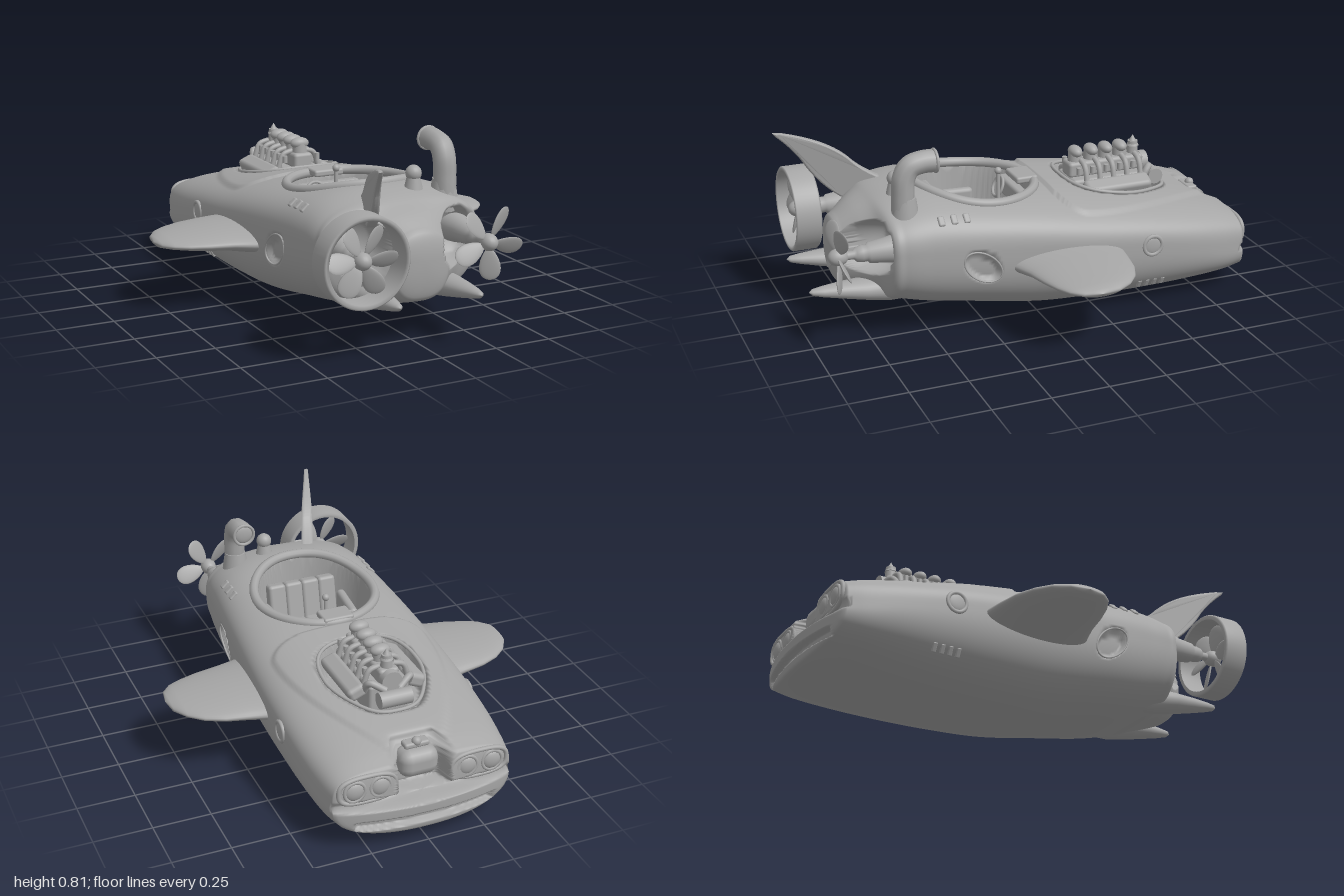
import * as THREE from 'three';
import { RoundedBoxGeometry } from 'three/addons/geometries/RoundedBoxGeometry.js';

const V = (x, y, z) => new THREE.Vector3(x, y, z);
const step = THREE.MathUtils.smoothstep;

// Hull stations along z: half width, top, bottom, widest height, upper squareness
const stations = [
  [-0.93, 0.388, 0.348, 0.06, 0.2, 4.2], [-0.85, 0.405, 0.38, 0.04, 0.21, 3.6], [-0.7, 0.422, 0.42, 0.02, 0.25, 3],
  [-0.45, 0.43, 0.47, 0.005, 0.3, 2.7], [-0.2, 0.428, 0.51, 0.005, 0.33, 2.65], [0, 0.42, 0.54, 0.015, 0.35, 2.75],
  [0.3, 0.4, 0.575, 0.065, 0.37, 2.85], [0.5, 0.383, 0.6, 0.1, 0.39, 2.6], [0.62, 0.368, 0.585, 0.13, 0.4, 2.5],
  [0.67, 0.35, 0.57, 0.14, 0.4, 2.5], [0.7, 0.27, 0.555, 0.15, 0.38, 2.4], [0.76, 0.19, 0.525, 0.165, 0.37, 2.2],
  [0.82, 0.135, 0.485, 0.185, 0.36, 2.1]];
const Z0 = -0.93, Z1 = 0.82, LOW = 2.7;
const spline = new THREE.CubicInterpolant(stations.map(s => s[0]), stations.flatMap(s => s.slice(1)), 5);
const section = z => Array.from(spline.evaluate(THREE.MathUtils.clamp(z, Z0, Z1)));

// Raised bonnet outline
const hoodWidth = z => z > -0.2 ? 0.36 * Math.sqrt(Math.max(0, 1 - ((z + 0.2) / 0.11) ** 2)) ** 0.5
  : 0.36 - 0.5 * (-0.2 - z) ** 1.9;
const hood = (x, z) => z > -0.095 || z < -0.92 ? 0 : 0.012 * step(hoodWidth(z) - Math.abs(x), 0, 0.02);
// Surface height of the deck, and surface reach of the flank
function deck(x, z) {
  const [w, top, , mid, n] = section(z);
  return mid + (top - mid) * Math.max(0, 1 - Math.abs(x / w) ** n) ** (1 / n) + hood(x, z);
}
function flank(y, z) {
  const [w, top, bot, mid, n] = section(z);
  const e = y > mid ? n : LOW, k = y > mid ? (y - mid) / (top - mid) : (mid - y) / (mid - bot);
  return w * Math.max(0, 1 - k ** e) ** (1 / e);
}
const cockpitR = (x, z) => Math.hypot(x / 0.255, (z - 0.21) / 0.262);
const bayR = (x, z) => {
  const w = 0.215 - 0.06 * step(-z, 0.42, 0.69);
  return (Math.abs(x / w) ** 3 + Math.abs((z + 0.45) / 0.24) ** 3) ** (1 / 3);
};

// Openings and nose features pressed into the hull
function shapeHull(p) {
  const { x, y, z } = p, ax = Math.abs(x), mid = section(z)[3];
  if (y > mid) {
    p.y += hood(x, z);
    if (y > 0.36) {
      p.y -= (p.y - 0.25) * (1 - step(cockpitR(x, z), 0.97, 1.04));
      if (z < -0.15) p.y -= (p.y - 0.37) * (1 - step(bayR(x, z), 0.96, 1.04));
    }
  }
  // bowl-shaped propeller wells
  const r = Math.hypot(ax - 0.226, y - 0.405) / 0.13;
  if (r < 1 && z > 0.5) p.z = Math.min(z, 0.6 + 0.07 * r ** 2 + 0.1 * step(r, 0.75, 1));
  // slanted oval side recesses
  const e = Math.hypot((z - 0.3 - 0.5 * (y - 0.315)) / 0.075, (y - 0.315) / 0.075);
  if (ax > 0.3) p.x *= 1 - 0.07 * (1 - step(e, 0.75, 1));
  // nose: lower lip, mouth slot and centre notch
  if (z < -0.78) {
    const t = step(-z, 0.78, 0.93), low = 1 - step(y, 0.18, 0.2);
    p.z += t * (-0.055 * Math.max(0, 1 - (x / 0.4) ** 2) * low
      + 0.09 * (1 - step(ax, 0.095, 0.115)) * step(y, 0.2, 0.22));
    if (z < -0.92) p.z += 0.025 * (1 - step(Math.abs(y - 0.205), 0.006, 0.016))
      + 0.03 * (1 - step(ax, 0.29, 0.31)) * (1 - step(Math.abs(y - 0.115), 0.014, 0.024));
  }
  return p;
}

// Skin over a list of closed rings
function loft(rings) {
  const n = rings[0].length, pos = rings.flat().flatMap(p => [p.x, p.y, p.z]), idx = [];
  for (let i = 0; i < rings.length - 1; i++) for (let j = 0; j < n; j++) {
    const a = i * n + j, b = i * n + (j + 1) % n;
    idx.push(a, b, a + n, b, b + n, a + n);
  }
  const g = new THREE.BufferGeometry();
  g.setAttribute('position', new THREE.Float32BufferAttribute(pos, 3));
  g.setIndex(idx);
  g.computeVertexNormals();
  return g;
}
function hullRing(z, k = 1, dz = 0) {
  const [w, top, bot, mid, n] = section(z);
  return Array.from({ length: 180 }, (_, j) => {
    const a = j / 180 * Math.PI * 2, c = Math.cos(a), s = Math.sin(a), e = 2 / (s > 0 ? n : LOW);
    return shapeHull(V(k * w * Math.sign(c) * Math.abs(c) ** e,
      mid + k * (s > 0 ? top - mid : bot - mid) * Math.abs(s) ** e, z + dz));
  });
}
const tube = (pts, r, closed = false, n = 48) =>
  new THREE.TubeGeometry(new THREE.CatmullRomCurve3(pts, closed), n, r, 10, closed);
const loop = (f, n = 48) => Array.from({ length: n }, (_, i) => f(Math.cos(i / n * 2 * Math.PI), Math.sin(i / n * 2 * Math.PI)));

export function createModel() {
  const root = new THREE.Group();
  const grey = new THREE.MeshStandardMaterial({ color: 0xa6a6a6, side: THREE.DoubleSide });
  grey.name = 'plain grey';
  const add = (name, geo, x = 0, y = 0, z = 0, parent = root) => {
    const m = new THREE.Mesh(geo, grey);
    m.name = name;
    m.position.set(x, y, z);
    parent.add(m);
    return m;
  };
  const box = (w, h, d, r = 0.01) => new RoundedBoxGeometry(w, h, d, 2, r);
  const ball = r => new THREE.SphereGeometry(r, 20, 14);
  const rod = (r0, r1, h) => new THREE.CylinderGeometry(r0, r1, h, 24);

  // Hull with rounded end caps
  const rings = [], N = 200, C = 26;
  for (let i = C; i > 0; i--) rings.push(hullRing(Z0, 1 - i / C, -0.02 * Math.sqrt(1 - (1 - i / C) ** 2)));
  for (let i = 0; i <= N; i++) rings.push(hullRing(Z0 + (Z1 - Z0) * i / N));
  for (let i = 1; i <= 16; i++) rings.push(hullRing(Z1, 1 - i / 16, 0.04 * Math.sqrt(1 - (1 - i / 16) ** 2)));
  add('hull', loft(rings));

  // Rims that follow the deck
  add('cockpitRim', tube(loop((c, s) => {
    const x = 0.268 * c, z = 0.21 + 0.278 * s;
    return V(x, deck(x, z), z);
  }), 0.021, true, 96));
  add('engineBayRim', tube(loop((c, s) => {
    const z = -0.45 + 0.24 * Math.sign(s) * Math.abs(s) ** 0.7;
    const x = (0.215 - 0.06 * step(-z, 0.42, 0.69)) * Math.sign(c) * Math.abs(c) ** 0.7;
    return V(x, deck(x, z), z);
  }), 0.008, true, 96));

  // Cockpit: pleated bench with side bolsters, dashboard, steering wheel
  const cockpit = new THREE.Group();
  cockpit.name = 'cockpit';
  root.add(cockpit);
  for (let i = 0; i < 4; i++) {
    const x = (i - 1.5) * 0.08;
    add('seatCushion', box(0.082, 0.1, 0.26, 0.015), x, 0.31, 0.22, cockpit);
    add('seatBack', box(0.082, 0.22, 0.06, 0.015), x, 0.41, 0.365, cockpit).rotation.x = 0.2;
  }
  for (const s of [-1, 1])
    add('seatBolster', box(0.04, 0.2, 0.22, 0.018), s * 0.175, 0.35, 0.25, cockpit).rotation.y = s * 0.1;
  add('dashboard', box(0.3, 0.08, 0.05, 0.015), 0, 0.46, 0.0, cockpit);
  add('dashboardTop', box(0.14, 0.03, 0.1), 0, 0.54, -0.03, cockpit);
  add('steeringWheel', new THREE.TorusGeometry(0.045, 0.007, 8, 24), -0.08, 0.47, 0.05, cockpit).rotation.x = -0.4;
  add('controlLever', rod(0.008, 0.008, 0.2), 0, 0.475, 0.08, cockpit);
  add('leverKnob', ball(0.016), 0, 0.575, 0.08, cockpit);

  // Engine
  const engine = new THREE.Group();
  engine.name = 'engine';
  root.add(engine);
  add('engineBlock', box(0.18, 0.14, 0.36, 0.015), 0, 0.44, -0.42, engine);
  add('intakeManifold', box(0.09, 0.07, 0.36, 0.015), 0, 0.54, -0.42, engine);
  for (const s of [-1, 1]) {
    add('valveCover', box(0.08, 0.06, 0.31, 0.02), s * 0.133, 0.48, -0.43, engine).rotation.z = -s * 0.4;
    for (let i = 0; i < 5; i++) {
      const z = -0.3 - i * 0.065;
      add('intakePipe', tube([V(s * 0.03, 0.58, z), V(s * 0.075, 0.565, z), V(s * 0.1, 0.5, z)], 0.012, false, 10), 0, 0, 0, engine);
      add('boltCap', rod(0.011, 0.011, 0.03), s * 0.08, 0.55, z + 0.03, engine);
    }
    add('frontPipe', tube([V(s * 0.03, 0.5, -0.63), V(s * 0.09, 0.53, -0.6), V(s * 0.1, 0.47, -0.56)], 0.015, false, 12), 0, 0, 0, engine);
  }
  [-0.285, -0.36, -0.43, -0.5].forEach(z => {
    add('intakeStack', rod(0.03, 0.035, 0.06), 0, 0.585, z, engine);
    add('stackCap', ball(0.033).scale(1.35, 0.8, 0.9), 0, 0.615, z, engine);
  });
  add('distributor', rod(0.022, 0.028, 0.09), 0, 0.585, -0.565, engine);
  add('distributorCap', new THREE.ConeGeometry(0.028, 0.05, 16), 0, 0.633, -0.565, engine);
  add('pulley', rod(0.045, 0.045, 0.03), 0, 0.53, -0.61, engine).rotation.x = Math.PI / 2;
  add('frontDrum', rod(0.035, 0.035, 0.14), 0, 0.47, -0.65, engine).rotation.z = Math.PI / 2;

  // Propellers on stepped pods
  const podProfile = [[0.07, -0.33], [0.06, -0.24], [0.052, -0.2], [0.044, -0.13], [0.034, -0.12], [0.036, -0.1], [0.03, -0.075], [0.018, -0.065], [0.018, 0]]
    .map(p => new THREE.Vector2(...p));
  const propeller = (name, x, z, count, length) => {
    const g = new THREE.Group();
    g.name = name;
    g.position.set(x, 0.41, z);
    root.add(g);
    add('pod', new THREE.LatheGeometry(podProfile, 28).rotateX(Math.PI / 2), 0, 0, 0, g);
    add('hub', ball(0.036).scale(1, 1, 1.2), 0, 0, 0, g);
    for (let i = 0; i < count; i++) {
      // teardrop blade, broader at the tip
      const b = new THREE.SphereGeometry(1, 16, 12), q = b.attributes.position;
      for (let k = 0; k < q.count; k++) q.setX(k, q.getX(k) * (1 + 0.3 * q.getY(k)));
      b.scale(0.042, length / 2, 0.008).rotateY(0.5).translate(0, 0.025 + length / 2, 0);
      b.computeVertexNormals();
      add('blade', b, 0, 0, 0, g).rotation.z = -0.55 + i * Math.PI * 2 / count;
    }
  };
  propeller('ductedPropeller', -0.302, 0.9, 6, 0.13);
  propeller('openPropeller', 0.275, 0.885, 5, 0.135);
  const duct = [[0.166, -0.055], [0.18, -0.058], [0.187, -0.05], [0.187, 0.05], [0.18, 0.056], [0.166, 0.053], [0.166, -0.055]];
  add('propellerDuct', new THREE.LatheGeometry(duct.map(p => new THREE.Vector2(...p)), 56).rotateX(Math.PI / 2), -0.304, 0.413, 0.897);

  // Swept dorsal fin, leaning outward and thinning to the tip
  const f = new THREE.Shape();
  f.moveTo(0.54, 0.56);
  f.quadraticCurveTo(0.65, 0.6, 0.71, 0.665);
  f.quadraticCurveTo(0.8, 0.745, 0.99, 0.772);
  f.quadraticCurveTo(0.93, 0.725, 0.885, 0.66);
  f.quadraticCurveTo(0.83, 0.56, 0.74, 0.5);
  const finGeo = new THREE.ExtrudeGeometry(f, { depth: 0.016, bevelSize: 0.008, bevelThickness: 0.014, bevelSegments: 4, curveSegments: 16 })
    .translate(0, 0, -0.008).rotateY(-Math.PI / 2);
  const fp = finGeo.attributes.position;
  for (let i = 0; i < fp.count; i++) {
    const z = fp.getZ(i);
    fp.setX(i, fp.getX(i) * (1.3 - 0.8 * step(z, 0.65, 1)) - 0.13 - 0.39 * (z - 0.62));
  }
  finGeo.computeVertexNormals();
  add('dorsalFin', finGeo);

  // Periscope and deck dome
  add('periscope', tube([V(0.24, 0.48, 0.595), V(0.24, 0.62, 0.592), V(0.24, 0.7, 0.585), V(0.24, 0.742, 0.56), V(0.24, 0.757, 0.51), V(0.24, 0.757, 0.45)], 0.048));
  add('periscopeRing', new THREE.TorusGeometry(0.046, 0.007, 10, 32), 0.24, 0.757, 0.452);
  add('periscopeLens', ball(0.042).scale(1, 1, 0.3), 0.24, 0.757, 0.46);
  add('periscopeBase', rod(0.047, 0.062, 0.1), 0.24, 0.565, 0.585);
  add('domeBase', rod(0.028, 0.042, 0.06), 0.1, 0.6, 0.58);
  add('dome', ball(0.034), 0.1, 0.648, 0.58);

  // Nose intake between the headlights
  add('noseIntake', box(0.17, 0.12, 0.12, 0.045), 0, 0.305, -0.86);
  add('noseCap', box(0.11, 0.025, 0.05), 0, 0.375, -0.85);
  add('noseKnob', ball(0.02), 0, 0.388, -0.86);

  // Sections along x: z centre, z radius, y radius, y centre
  const wingStations = [[0.36, -0.085, 0.275, 0.068, 0.295], [0.42, -0.085, 0.245, 0.06, 0.295], [0.5, -0.09, 0.225, 0.05, 0.3],
    [0.6, -0.09, 0.205, 0.041, 0.302], [0.68, -0.085, 0.175, 0.033, 0.303], [0.74, -0.075, 0.135, 0.026, 0.305], [0.78, -0.065, 0.08, 0.018, 0.305], [0.793, -0.06, 0.001, 0.001, 0.305]];
  // Sections along z: x centre, y centre, x radius, y radius
  const tailStations = [[0.5, 0.175, 0.185, 0.05, 0.05], [0.65, 0.175, 0.197, 0.068, 0.057], [0.75, 0.177, 0.207, 0.064, 0.047],
    [0.85, 0.179, 0.217, 0.046, 0.035], [0.93, 0.182, 0.224, 0.03, 0.023], [0.975, 0.183, 0.228, 0.017, 0.014], [0.99, 0.183, 0.229, 0.001, 0.001]];
  for (const s of [-1, 1]) {
    add('wing', loft(wingStations.map(([x, zc, rz, ry, y]) => loop((c, k) => V(s * x, y + ry * c, zc + s * rz * k), 40))));
    add('tailFin', loft(tailStations.map(([z, x, y, rx, ry]) => loop((c, k) => V(s * x + rx * c, y + ry * k, z), 32))));

    // Twin headlights in a stadium bezel
    for (const x of [0.19, 0.3]) {
      add('headlight', ball(0.043).scale(1, 1, 0.5), s * x, 0.272, -0.934);
      add('headlightRing', new THREE.TorusGeometry(0.043, 0.008, 10, 32), s * x, 0.272, -0.94);
    }
    add('headlightBezel', tube(loop((c, k) => V(s * (0.245 + 0.122 * Math.sign(c) * Math.abs(c) ** 0.7),
      0.272 + 0.058 * Math.sign(k) * Math.abs(k) ** 0.7, -0.937)), 0.01, true, 72));

    // Oval recess edge and front porthole
    add('sideRecessEdge', tube(loop((c, k) => {
      const y = 0.315 + 0.073 * k, z = 0.3 + 0.036 * k + 0.073 * c;
      return V(s * (flank(y, z) - 0.001), y, z);
    }), 0.004, true, 64));
    const px = s * (flank(0.305, -0.465) - 0.002);
    add('portholeRing', new THREE.TorusGeometry(0.042, 0.009, 10, 36).rotateY(Math.PI / 2), px, 0.305, -0.465);
    add('portholeGlass', ball(0.038).scale(0.2, 1, 1), px, 0.305, -0.465);

    // Vent louvres
    for (let i = 0; i < 4; i++) {
      const z = -0.43 - i * 0.036;
      add('lowerVent', box(0.012, 0.042, 0.02, 0.005), s * flank(0.11, z), 0.11, z).rotation.z = -s * 0.5;
    }
    for (let i = 0; i < 3; i++) {
      const z = 0.35 + i * 0.055;
      add('upperVent', box(0.045, 0.016, 0.028, 0.007), s * 0.335, deck(0.335, z), z).rotation.z = -s * 0.75;
    }
  }
  return root;
}
